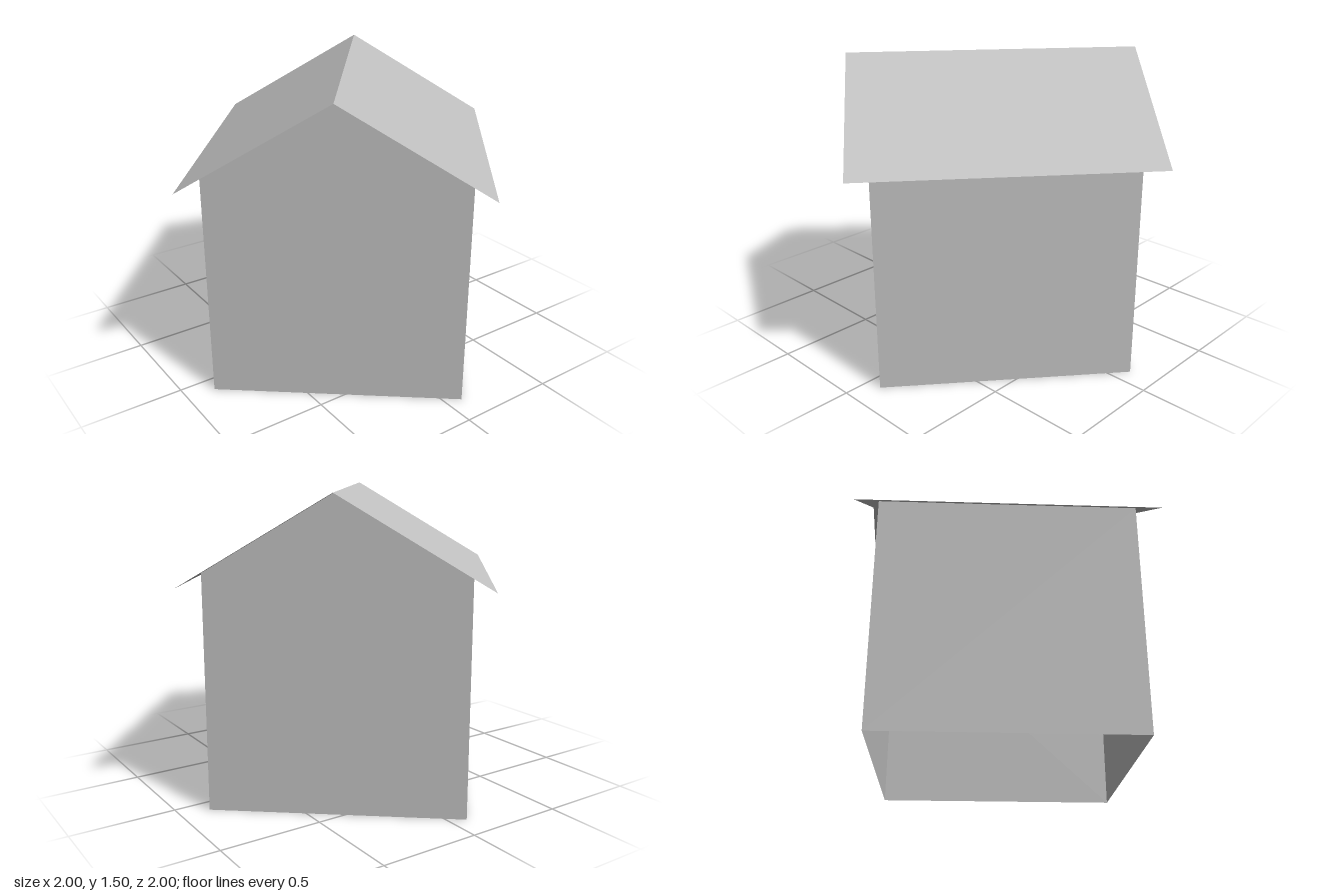
import * as THREE from 'three';

const WALL_X = 0.608, WALL_Z = 0.614;   // half width and half length of the walls
const ROOF_X = 0.704, ROOF_Z = 0.717;   // half width and half length of the roof
const RIDGE = 1.5, EAVE = 1.08;
const WALL_TOP = RIDGE - (RIDGE - EAVE) * WALL_X / ROOF_X;

export function createModel() {
  const house = new THREE.Group();
  house.name = 'house';
  const grey = new THREE.MeshStandardMaterial({ color: 0xc0c0c0, side: THREE.DoubleSide });
  grey.name = 'plain grey';

  const add = (name, geometry) => {
    const mesh = new THREE.Mesh(geometry, grey);
    mesh.name = name;
    house.add(mesh);
    return mesh;
  };

  // Outline of an end wall with its gable
  const gable = new THREE.Shape([
    new THREE.Vector2(-WALL_X, 0),
    new THREE.Vector2(WALL_X, 0),
    new THREE.Vector2(WALL_X, WALL_TOP),
    new THREE.Vector2(0, RIDGE),
    new THREE.Vector2(-WALL_X, WALL_TOP),
  ]);
  const slopeLength = Math.hypot(ROOF_X, RIDGE - EAVE);
  const pitch = Math.atan2(RIDGE - EAVE, ROOF_X);

  for (const [label, s] of [['front', 1], ['back', -1]]) {
    // Gabled end walls, open underneath
    const end = add(label + 'GableWall', new THREE.ShapeGeometry(gable));
    end.position.z = s * WALL_Z;
    end.rotation.y = s > 0 ? 0 : Math.PI;
  }

  for (const [label, s] of [['left', 1], ['right', -1]]) {
    // Side walls
    const side = add(label + 'SideWall', new THREE.PlaneGeometry(2 * WALL_Z, WALL_TOP));
    side.position.set(s * WALL_X, WALL_TOP / 2, 0);
    side.rotation.y = s * Math.PI / 2;

    // Thin overhanging roof slopes, meeting at the ridge
    const slope = new THREE.PlaneGeometry(slopeLength, 2 * ROOF_Z);
    slope.rotateX(-Math.PI / 2).rotateZ(-s * pitch);
    add(label + 'RoofSlope', slope).position.set(s * ROOF_X / 2, (RIDGE + EAVE) / 2, 0);
  }

  // The house stands turned on its plot
  house.rotation.y = -0.687;
  const model = new THREE.Group();
  model.name = 'gabledHouse';
  model.add(house);
  return model;
}
